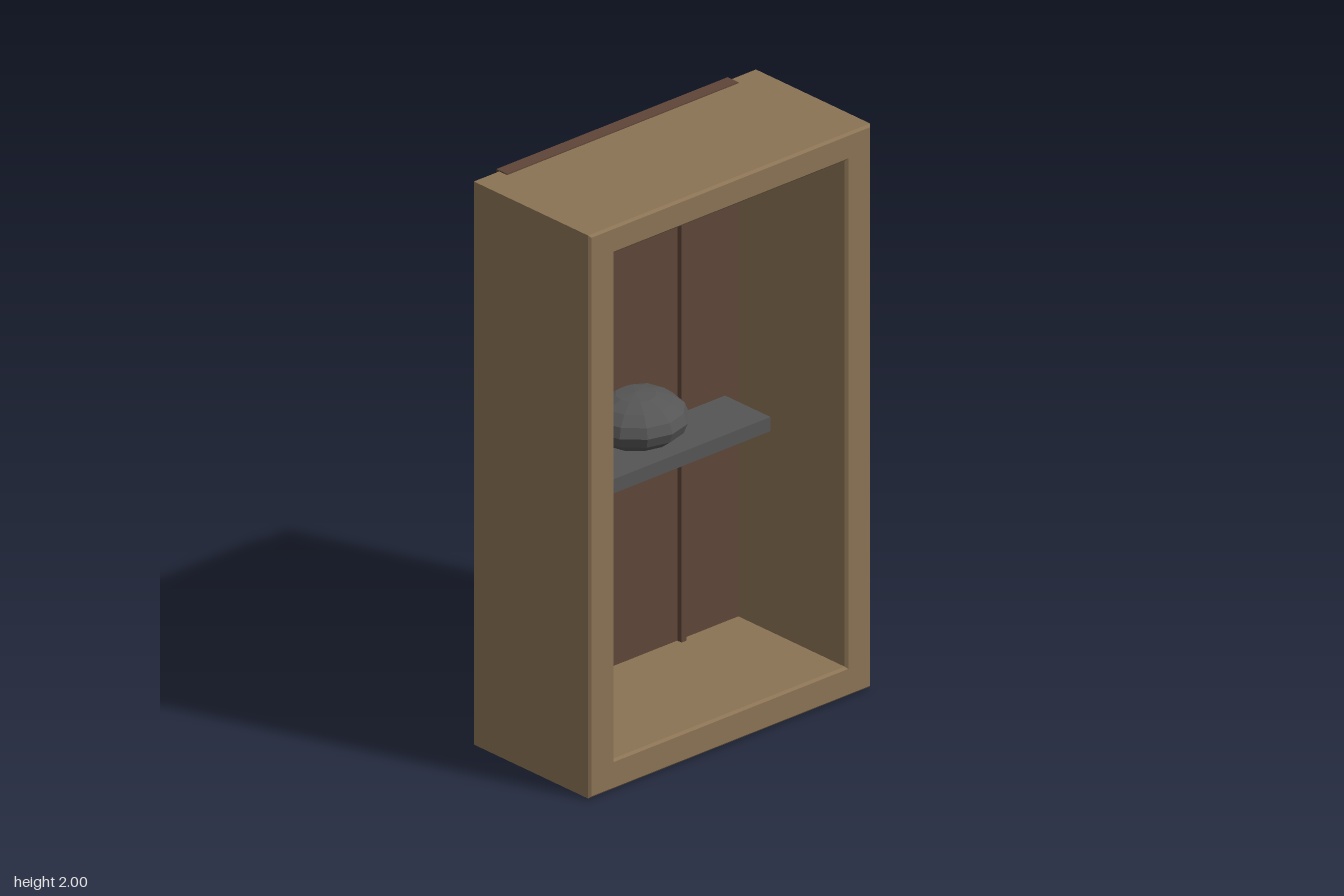
import * as THREE from 'three';

const mat = (color, extra = {}) => new THREE.MeshStandardMaterial({ color, ...extra });

function add(group, name, geometry, material, x, y, z) {
  const mesh = new THREE.Mesh(geometry, material);
  mesh.name = name;
  mesh.position.set(x, y, z);
  group.add(mesh);
  return mesh;
}

// Rectangle outline centred on x = 0
function rect(path, w, y0, y1) {
  path.moveTo(-w, y0);
  path.lineTo(w, y0);
  path.lineTo(w, y1);
  path.lineTo(-w, y1);
  path.closePath();
  return path;
}

export function createModel() {
  const group = new THREE.Group();
  group.name = 'displayCase';

  const wood = mat(0x8b7355);
  const darkWood = mat(0x5f4638);
  const metal = mat(0x555555);
  const stone = mat(0x555555, { flatShading: true });

  // Open case: a bevelled frame extruded front to back
  const bevel = 0.008;
  const outline = rect(new THREE.Shape(), 0.61 - bevel, 0.004 + bevel, 1.996 - bevel);
  outline.holes.push(rect(new THREE.Path(), 0.5 + bevel, 0.11 - bevel, 1.9 + bevel));
  const caseGeometry = new THREE.ExtrudeGeometry(outline, {
    depth: 0.555 - 2 * bevel,
    bevelEnabled: true,
    bevelSize: bevel,
    bevelThickness: bevel,
    bevelSegments: 1,
  });
  add(group, 'caseFrame', caseGeometry, wood, 0, 0, -0.215 + bevel);

  // Back panel, slightly proud of the frame
  add(group, 'backPanel', new THREE.BoxGeometry(1, 2, 0.05), darkWood, 0, 1, -0.195);

  // Shelf passing through the back panel
  add(group, 'shelf', new THREE.BoxGeometry(0.885, 0.05, 0.385), metal, 0, 0.885, -0.148);

  // Flattened faceted pebble resting on the shelf
  const pebble = add(group, 'pebble', new THREE.SphereGeometry(1, 12, 8), stone, 0, 1, -0.108);
  pebble.scale.set(0.173, 0.09, 0.173);

  // Slim rod and round disc in front of the back panel
  add(group, 'rod', new THREE.BoxGeometry(0.022, 1.76, 0.02), darkWood, 0.247, 0.96, -0.16);
  const disc = new THREE.CylinderGeometry(0.075, 0.075, 0.03, 32).rotateX(Math.PI / 2);
  add(group, 'disc', disc, metal, 0.249, 1.872, -0.155);

  return group;
}
